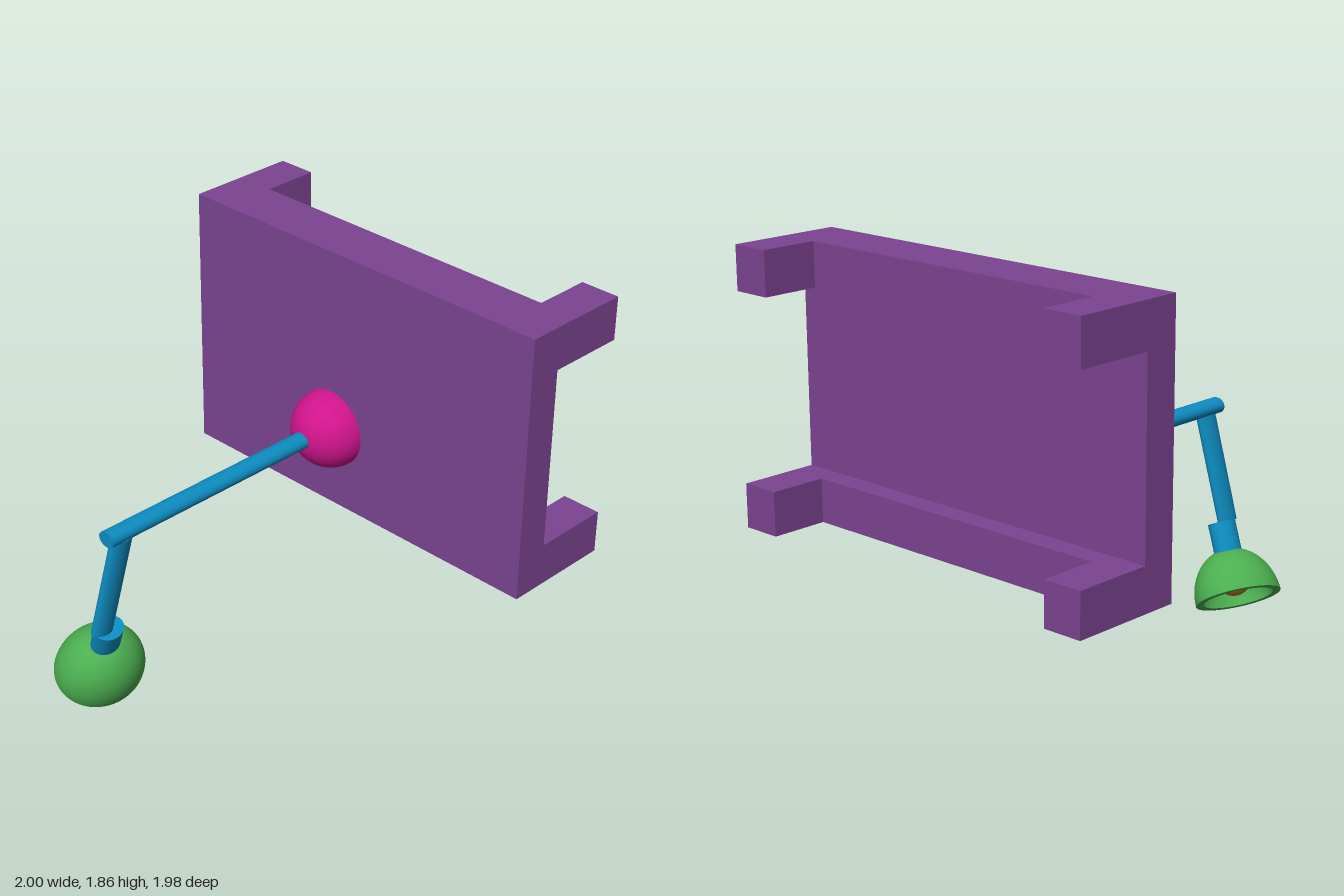
import * as THREE from 'three';

const mat = (color, side = THREE.FrontSide) => {
  const m = new THREE.MeshStandardMaterial({ side });
  m.color.set(color);
  return m;
};
const purple = mat(0x7b4491);
const pink = mat(0xd0148c);
const blue = mat(0x0d8cc0);
const green = mat(0x4caf50, THREE.DoubleSide);
const amber = mat(0xb97a1c);

function add(parent, name, geometry, material) {
  const mesh = new THREE.Mesh(geometry, material);
  mesh.name = name;
  parent.add(mesh);
  return mesh;
}

// Box given by its minimum and maximum corners
function box(parent, name, [x0, y0, z0], [x1, y1, z1]) {
  const mesh = add(parent, name, new THREE.BoxGeometry(x1 - x0, y1 - y0, z1 - z0), purple);
  mesh.position.set((x0 + x1) / 2, (y0 + y1) / 2, (z0 + z1) / 2);
}

// Turn an object so its y axis follows dir, with its z axis kept near ref
function aim(object, dir, ref) {
  const y = dir.clone().normalize();
  const x = new THREE.Vector3().crossVectors(y, ref).normalize();
  const z = new THREE.Vector3().crossVectors(x, y);
  object.quaternion.setFromRotationMatrix(new THREE.Matrix4().makeBasis(x, y, z));
}

// Oval rod from a to b; rRef is its radius along ref, rSide the other one
function rod(parent, name, a, b, rSide, rRef, ref) {
  const start = new THREE.Vector3(...a), end = new THREE.Vector3(...b);
  const dir = end.clone().sub(start);
  const mesh = add(parent, name, new THREE.CylinderGeometry(1, 1, 1, 40), blue);
  mesh.scale.set(rSide, dir.length(), rRef);
  mesh.position.copy(start).add(end).multiplyScalar(0.5);
  aim(mesh, dir, ref);
}

export function createModel() {
  const model = new THREE.Group();
  model.name = 'wallLamp';

  // Mounting plate with two rear rails and four corner feet
  const plate = new THREE.Group();
  plate.name = 'mountingPlate';
  model.add(plate);
  box(plate, 'panel', [-1, 0.575, -0.605], [1, 1.855, -0.44]);
  for (const [y0, y1] of [[0.575, 0.78], [1.65, 1.855]]) {
    box(plate, 'rail', [-1, y0, -0.71], [1, y1, -0.605]);
    for (const [x0, x1] of [[-1, -0.81], [0.81, 1]]) {
      box(plate, 'cornerFoot', [x0, y0, -0.985], [x1, y1, -0.71]);
    }
  }

  // Half ball joint on the front of the panel
  const joint = add(model, 'ballJoint',
    new THREE.SphereGeometry(0.187, 48, 20, 0, Math.PI * 2, 0, Math.PI / 2), pink);
  joint.rotation.x = Math.PI / 2;
  joint.position.set(-0.135, 0.972, -0.44);

  // Arms and lamp socket
  const up = new THREE.Vector3(0, 1, 0), front = new THREE.Vector3(0, 0, 1);
  rod(model, 'upperArm', [-0.145, 0.972, -0.3], [-0.145, 0.972, 0.905], 0.046, 0.037, up);
  rod(model, 'lowerArm', [-0.143, 0.95, 0.823], [-0.25, 0.43, 0.872], 0.033, 0.058, front);
  rod(model, 'socket', [-0.245, 0.43, 0.835], [-0.318, 0.275, 0.808], 0.06, 0.071, front);

  // Thick-walled shade, its opening down, outward and slightly back
  const head = new THREE.Group();
  head.name = 'lampHead';
  head.position.set(-0.402, 0.109, 0.775);
  aim(head, new THREE.Vector3(0.53, 0.81, 0.25), front);
  model.add(head);

  const arc = (r, h) => Array.from({ length: 25 }, (_, i) => {
    const t = (i / 24) * Math.PI / 2;
    return new THREE.Vector2(r * Math.cos(t), h * Math.sin(t));
  });
  const outer = arc(1, 0.24), inner = arc(0.82, 0.2);
  const walls = [
    ['shadeOuter', outer],
    ['shadeRim', [inner[0], outer[0]]],
    ['shadeInner', inner.slice().reverse()],
  ];
  for (const [name, points] of walls) {
    add(head, name, new THREE.LatheGeometry(points, 56), green).scale.set(0.19, 1, 0.215);
  }

  // Bulb
  const bulb = add(head, 'bulb', new THREE.SphereGeometry(0.085, 32, 20), amber);
  bulb.position.y = 0.1;

  return model;
}
